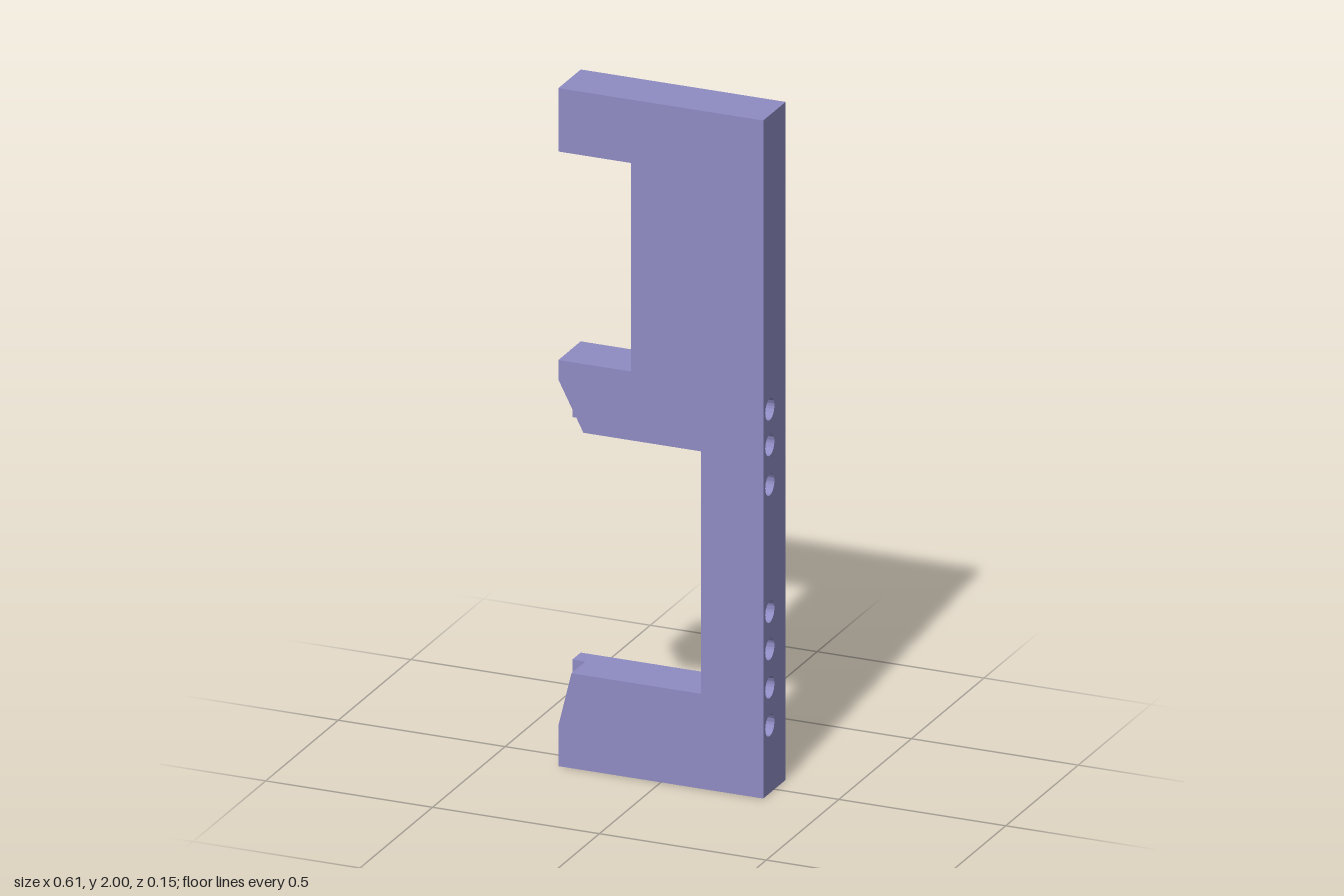
import * as THREE from 'three';
import { toCreasedNormals } from 'three/addons/utils/BufferGeometryUtils.js';

const X = 0.307, Z = 0.077;   // half width and half thickness
const SPLIT = -0.02;          // the tip chamfers stop at this depth
const HOLE_Z = 0.032, HOLE_R = 0.0315;
const HOLES = [0.2, 0.312, 0.425, 0.535, 0.91, 1.027, 1.132];

const material = new THREE.MeshStandardMaterial({ color: 0x8f8cc4 });

function addMesh(group, name, geometry) {
  const mesh = new THREE.Mesh(geometry, material);
  mesh.name = name;
  group.add(mesh);
}

// Front-layer block running along x, drilled lengthwise wherever a hole fits.
// chamfer = [yFull, yCut, xCut]: the tip slopes from -X at yFull to xCut at yCut.
function drilledBlock(x0, x1, y0, y1, chamfer) {
  const points = [[-Z, y0], [-SPLIT, y0], [-SPLIT, y1], [-Z, y1]];
  if (chamfer) {
    points.splice(2, 0, [-SPLIT, chamfer[0]]);
    points.push([-Z, chamfer[0]]);
  }
  const shape = new THREE.Shape(points.map(([s, y]) => new THREE.Vector2(s, y)));
  for (const y of HOLES) {
    if (y - HOLE_R < y0 || y + HOLE_R > y1) continue;
    shape.holes.push(new THREE.Path().absarc(-HOLE_Z, y, HOLE_R, 0, Math.PI * 2, true));
  }
  const geometry = new THREE.ExtrudeGeometry(shape, { depth: x1 - x0, bevelEnabled: false, curveSegments: 24 });
  geometry.rotateY(Math.PI / 2).translate(x0, 0, 0);

  // Slide the tip vertices back onto the chamfer plane
  if (chamfer) {
    const [yFull, yCut, xCut] = chamfer;
    const p = geometry.attributes.position;
    for (let i = 0; i < p.count; i++) {
      if (p.getX(i) > x0 + 1e-4) continue;
      const t = Math.max(0, (p.getY(i) - yFull) / (yCut - yFull));
      p.setX(i, x0 + t * (xCut - x0));
    }
  }
  return toCreasedNormals(geometry, 0.4);
}

export function createModel() {
  const group = new THREE.Group();
  group.name = 'bracket';

  // Back layer: the full outline with its two openings
  const outline = [
    [-X, 0], [X, 0], [X, 2], [-X, 2], [-X, 1.813], [-0.09, 1.813], [-0.09, 1.198],
    [-X, 1.198], [-X, 0.995], [0.12, 0.995], [0.12, 0.28], [-X, 0.28],
  ].map(([x, y]) => new THREE.Vector2(x, y));
  const back = new THREE.ExtrudeGeometry(new THREE.Shape(outline), { depth: SPLIT + Z, bevelEnabled: false });
  addMesh(group, 'backPlate', back.translate(0, 0, -Z));

  // Front layer: spine, neck and arms with the cross holes
  addMesh(group, 'spine', drilledBlock(0.12, X, 0, 2));
  addMesh(group, 'neck', drilledBlock(-0.09, 0.12, 1.198, 2));
  addMesh(group, 'topArm', drilledBlock(-X, -0.09, 1.813, 2));
  addMesh(group, 'middleArm', drilledBlock(-X, 0.12, 0.995, 1.198, [1.14, 0.995, -0.232]));
  addMesh(group, 'bottomArm', drilledBlock(-X, 0.12, 0, 0.28, [0.12, 0.28, -0.268]));
  return group;
}
